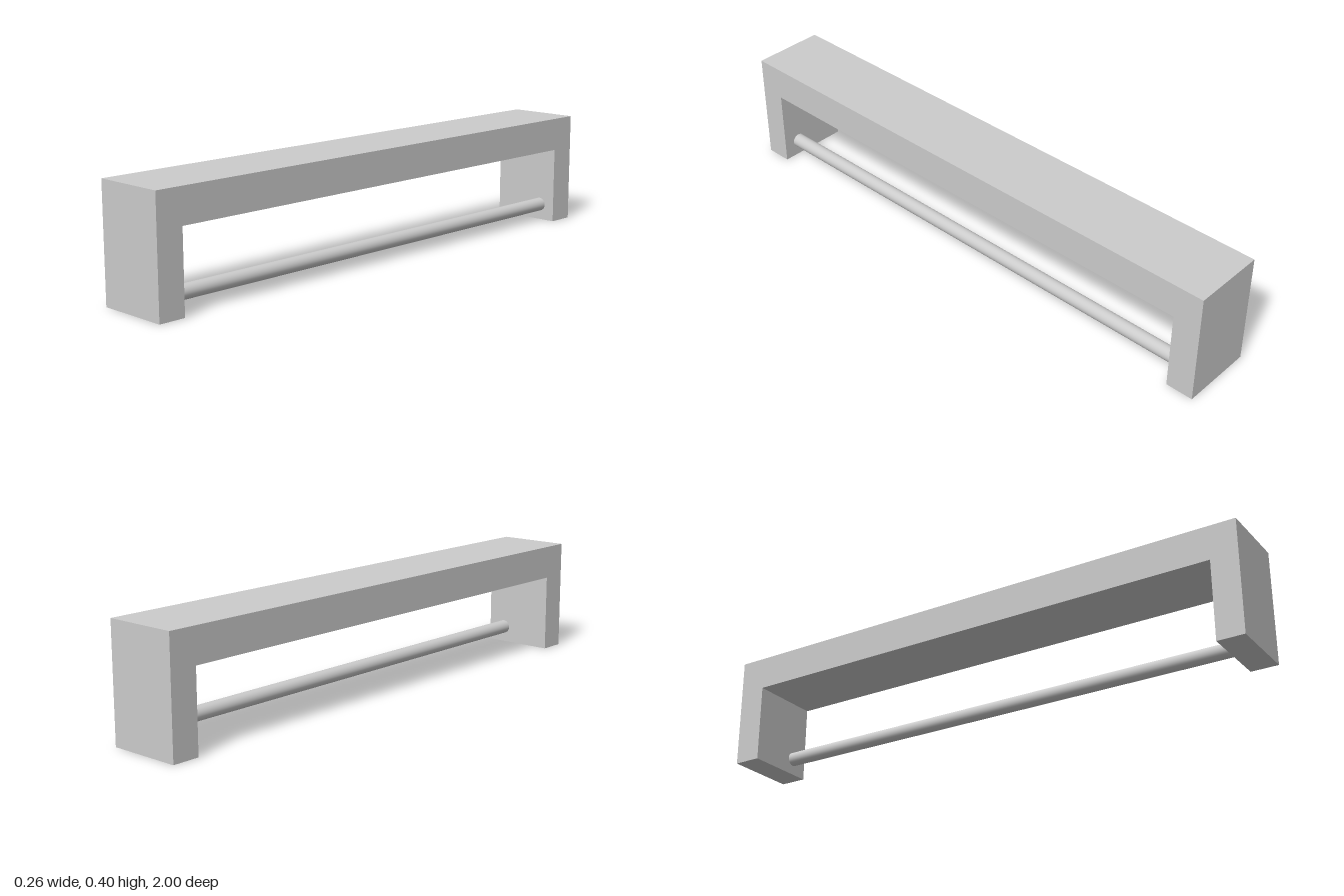
import * as THREE from 'three';

export function createModel() {
  const group = new THREE.Group();
  const material = new THREE.MeshStandardMaterial({ color: 0xcccccc });
  const width = 0.262, height = 0.4, beamBottom = 0.28;
  const frontInner = 0.905, backInner = -0.902;

  // Bridge-shaped frame: side profile (z, y) extruded across the width
  const profile = new THREE.Shape([
    [-1, 0], [backInner, 0], [backInner, beamBottom], [frontInner, beamBottom],
    [frontInner, 0], [1, 0], [1, height], [-1, height],
  ].map(([z, y]) => new THREE.Vector2(z, y)));
  const frameGeometry = new THREE.ExtrudeGeometry(profile, { depth: width, bevelEnabled: false });
  frameGeometry.translate(0, 0, -width / 2).rotateY(-Math.PI / 2);
  const frame = new THREE.Mesh(frameGeometry, material);
  frame.name = 'frame';
  group.add(frame);

  // Round rail between the two legs, set towards the left side
  const railGeometry = new THREE.CylinderGeometry(0.025, 0.025, frontInner - backInner, 32);
  railGeometry.rotateX(Math.PI / 2);
  const rail = new THREE.Mesh(railGeometry, material);
  rail.name = 'rail';
  rail.position.set(0.066, 0.059, (frontInner + backInner) / 2);
  group.add(rail);

  return group;
}
